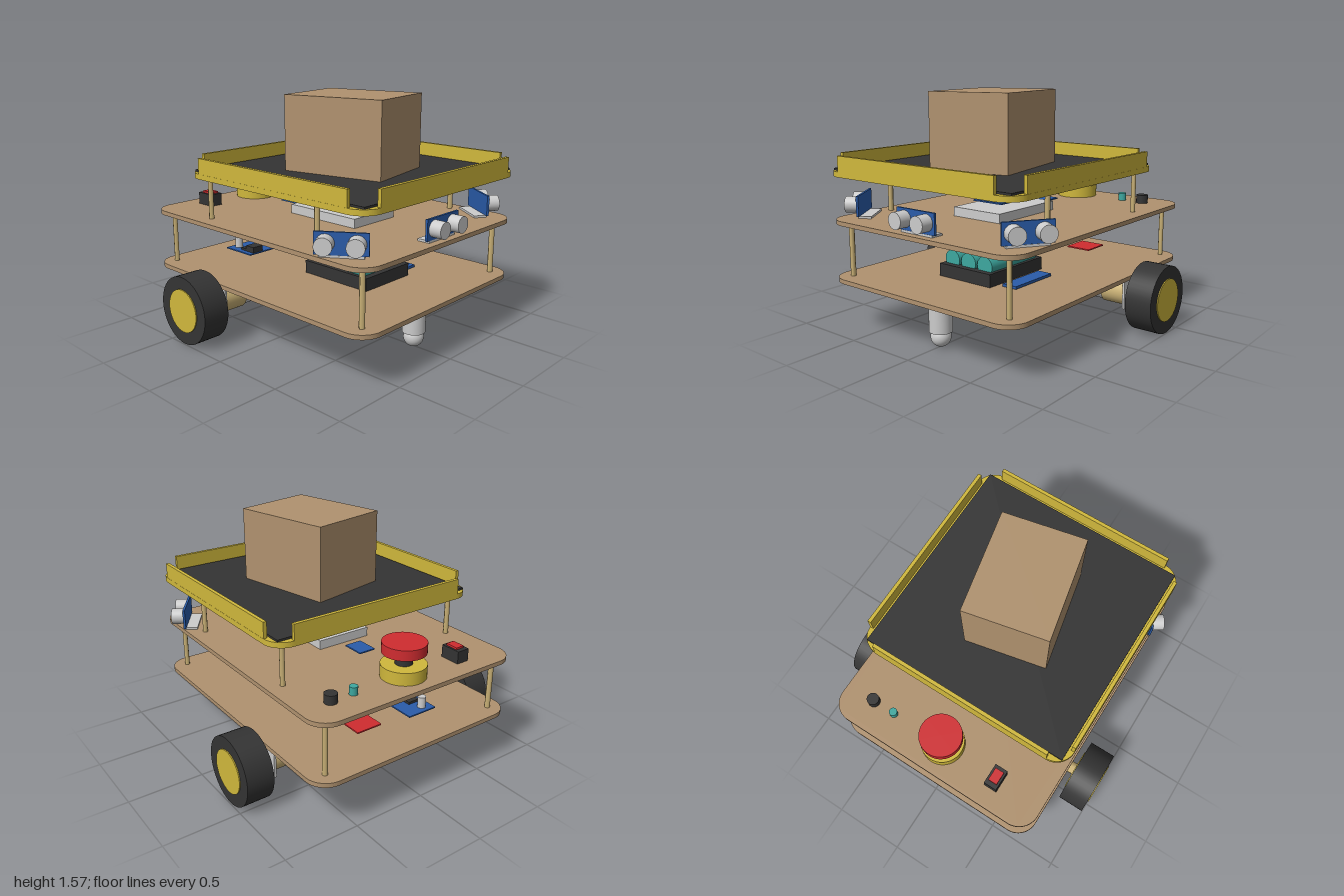
import * as THREE from 'three';

const mat = (name, color) => {
  const m = new THREE.MeshStandardMaterial({ color });
  m.name = name;
  return m;
};

export function createModel() {
  const tan = mat('tan wood', 0xb0926f), yellow = mat('yellow', 0xd0b83c);
  const black = mat('black', 0x343434), red = mat('red', 0xd02c30);
  const teal = mat('teal', 0x3da8a0), blue = mat('board blue', 0x2a5caa);
  const silver = mat('silver', 0xcccccc), brass = mat('brass', 0xcdb478);

  const root = new THREE.Group();
  root.name = 'rover';

  const add = (name, geometry, material, x, y, z, parent = root) => {
    const m = new THREE.Mesh(geometry, material);
    m.name = name;
    m.position.set(x, y, z);
    parent.add(m);
    return m;
  };
  // box given by its extents along each axis
  const box = (name, material, [x0, x1], [y0, y1], [z0, z1], parent) =>
    add(name, new THREE.BoxGeometry(x1 - x0, y1 - y0, z1 - z0), material,
      (x0 + x1) / 2, (y0 + y1) / 2, (z0 + z1) / 2, parent);
  // upright cylinder from y0 to y1
  const rod = (name, material, r, x, z, y0, y1, sides = 32) =>
    add(name, new THREE.CylinderGeometry(r, r, y1 - y0, sides), material, x, (y0 + y1) / 2, z);
  // cylinder lying along z
  const axle = (name, material, r, x, y, z0, z1, parent, sides = 40) => {
    const m = add(name, new THREE.CylinderGeometry(r, r, z1 - z0, sides), material, x, y, (z0 + z1) / 2, parent);
    m.rotation.x = Math.PI / 2;
    return m;
  };
  // flat plate with rounded corners
  const plate = (name, material, x0, x1, hz, y0, y1, r) => {
    const s = new THREE.Shape();
    s.moveTo(x0 + r, -hz).lineTo(x1 - r, -hz);
    s.absarc(x1 - r, -hz + r, r, -Math.PI / 2, 0);
    s.absarc(x1 - r, hz - r, r, 0, Math.PI / 2);
    s.absarc(x0 + r, hz - r, r, Math.PI / 2, Math.PI);
    s.absarc(x0 + r, -hz + r, r, Math.PI, Math.PI * 1.5);
    const g = new THREE.ExtrudeGeometry(s, { depth: y1 - y0, bevelEnabled: false, curveSegments: 10 });
    g.rotateX(-Math.PI / 2);
    add(name, g, material, 0, y0, 0);
  };

  // decks and the standoffs between them
  plate('lowerDeck', tan, -1, 0.957, 0.767, 0.343, 0.372, 0.14);
  plate('upperDeck', tan, -1, 0.957, 0.767, 0.728, 0.757, 0.14);
  plate('trayFloor', yellow, -0.58, 0.957, 0.767, 1.04, 1.075, 0.13);
  for (const z of [-0.66, 0.66]) {
    for (const x of [-0.9, 0.85]) rod('lowerStandoff', brass, 0.018, x, z, 0.372, 0.728, 6);
    for (const x of [-0.475, 0.505]) rod('upperStandoff', brass, 0.018, x, z, 0.757, 1.04, 6);
  }

  // tray rails, mat and parcel
  for (const s of [-1, 1]) {
    const z = s * 0.754;
    box('sideRail', yellow, [-0.455, 0.83], [1.07, 1.177], [z - 0.012, z + 0.012]);
  }
  box('rearRail', yellow, [-0.58, -0.556], [1.07, 1.177], [-0.64, 0.64]);
  box('frontRail', yellow, [0.933, 0.957], [1.07, 1.177], [-0.64, 0.64]);
  box('trayMat', black, [-0.54, 0.917], [1.074, 1.088], [-0.728, 0.728]);
  const parcel = box('parcel', tan, [-0.16, 0.535], [1.088, 1.576], [-0.276, 0.276]);
  parcel.rotation.y = 0.21;

  // drive units, one on each side
  for (const s of [1, -1]) {
    const unit = new THREE.Group();
    unit.name = s > 0 ? 'driveUnitPlusZ' : 'driveUnitMinusZ';
    if (s < 0) unit.rotation.y = Math.PI;
    unit.position.set(-0.37, 0.23, 0);
    root.add(unit);
    axle('tyre', black, 0.226, 0, 0, 0.81, 0.993, unit, 48);
    axle('hub', yellow, 0.143, 0, 0, 0.803, 1, unit);
    axle('hexCoupler', brass, 0.045, 0, 0, 0.71, 0.81, unit, 6);
    axle('gearbox', brass, 0.092, 0, 0, 0.545, 0.72, unit);
    axle('motor', silver, 0.082, 0, 0, 0.31, 0.546, unit);
    axle('motorCap', black, 0.085, 0, 0, 0.265, 0.315, unit);
    box('motorBracket', silver, [-0.1, 0.1], [-0.095, 0.113], [0.717, 0.733], unit);
  }

  // ball caster
  rod('casterHousing', silver, 0.075, 0.715, 0, 0.105, 0.343);
  add('casterBall', new THREE.SphereGeometry(0.066, 32, 20), silver, 0.715, 0.071, 0);

  // battery pack with three cells
  box('batteryHolder', black, [-0.045, 0.495], [0.372, 0.457], [-0.215, 0.215]);
  for (const z of [-0.138, 0, 0.138]) {
    const cell = add('batteryCell', new THREE.CylinderGeometry(0.062, 0.062, 0.455, 32), teal, 0.227, 0.488, z);
    cell.rotation.z = Math.PI / 2;
  }

  // lower deck electronics
  box('powerBoard', blue, [-0.76, -0.5], [0.411, 0.42], [0.1, 0.32]);
  rod('capacitor', silver, 0.027, -0.705, 0.25, 0.42, 0.495);
  box('inductor', black, [-0.585, -0.505], [0.42, 0.462], [0.2, 0.285]);
  box('chip', black, [-0.64, -0.58], [0.42, 0.436], [0.2, 0.285]);
  box('driverBoard', red, [-0.72, -0.52], [0.411, 0.42], [-0.285, -0.1]);
  box('chargeBoard', blue, [0.06, 0.43], [0.376, 0.394], [-0.37, -0.265]);

  // emergency stop
  rod('stopBase', yellow, 0.144, -0.79, 0, 0.757, 0.84, 40);
  rod('stopNeck', black, 0.056, -0.79, 0, 0.84, 0.918);
  rod('stopCap', red, 0.139, -0.79, 0, 0.915, 0.982, 40);

  // rocker switch and buttons
  box('switchBody', black, [-0.875, -0.735], [0.757, 0.84], [0.373, 0.463]);
  box('switchRocker', red, [-0.845, -0.757], [0.84, 0.853], [0.387, 0.449]);
  rod('blackButton', black, 0.041, -0.802, -0.55, 0.757, 0.815);
  rod('tealLamp', teal, 0.027, -0.802, -0.388, 0.757, 0.81);

  // computer case, its board and a small sensor board
  box('computerCase', silver, [-0.2, 0.375], [0.757, 0.818], [-0.195, 0.195]);
  box('computerBoard', blue, [-0.1, 0.265], [0.85, 0.859], [-0.12, 0.12]);
  box('smallConnector', silver, [-0.1, -0.064], [0.859, 0.88], [-0.05, 0.05]);
  box('largeConnector', silver, [0.13, 0.25], [0.859, 0.878], [-0.06, 0.06]);
  box('motionBoard', blue, [-0.445, -0.295], [0.78, 0.789], [-0.06, 0.06]);

  // twin-barrel distance sensors: one ahead, two angled outward
  for (const [x, z, degrees] of [[0.91, 0, 0], [0.722, 0.693, -56], [0.722, -0.693, 56]]) {
    const sensor = new THREE.Group();
    sensor.name = 'distanceSensor';
    sensor.position.set(x, 0, z);
    sensor.rotation.y = THREE.MathUtils.degToRad(degrees);
    root.add(sensor);
    box('sensorBoard', blue, [-0.015, 0], [0.773, 0.907], [-0.157, 0.157], sensor);
    box('sensorFoot', silver, [-0.09, -0.004], [0.757, 0.771], [-0.13, 0.13], sensor);
    for (const side of [-0.09, 0.09]) {
      const barrel = add('sensorBarrel', new THREE.CylinderGeometry(0.053, 0.053, 0.084, 32), silver, 0.04, 0.842, side, sensor);
      barrel.rotation.z = Math.PI / 2;
    }
  }

  return root;
}
